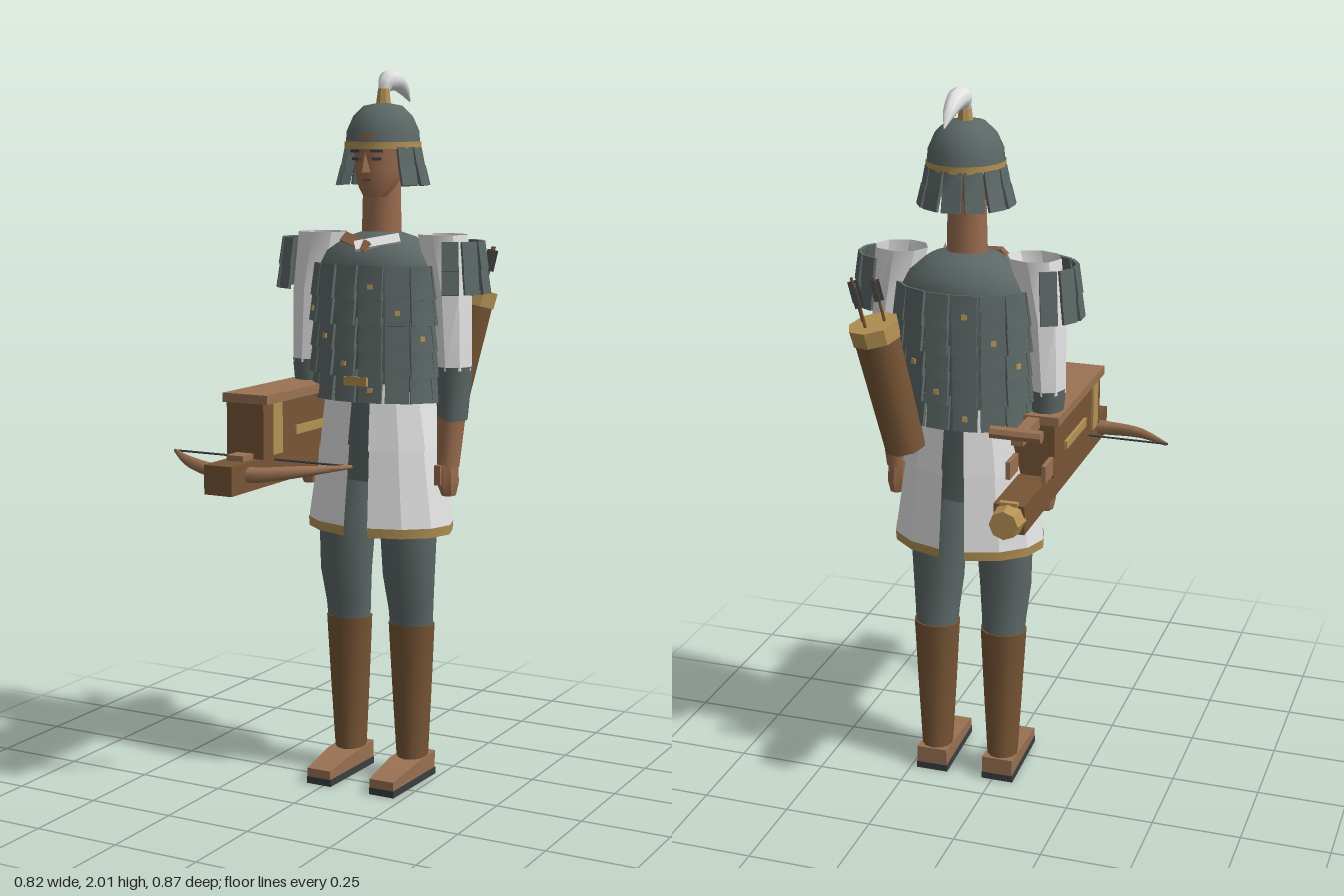
import * as THREE from 'three';
import { mergeGeometries, toCreasedNormals } from 'three/addons/utils/BufferGeometryUtils.js';

const mat = (name, color, side = THREE.FrontSide) => {
  const m = new THREE.MeshStandardMaterial({ color, side });
  m.name = name;
  return m;
};

// Skin through horizontal ellipses [y, cx, cz, rx, rz], listed bottom to top; a = 0 faces the front
function loft(rings, n = 12, a0 = 0, a1 = Math.PI * 2) {
  const pos = [], idx = [];
  for (const [y, cx, cz, rx, rz] of rings)
    for (let j = 0; j <= n; j++) {
      const a = a0 + (a1 - a0) * j / n;
      pos.push(cx + rx * Math.sin(a), y, cz + rz * Math.cos(a));
    }
  for (let i = 0; i < rings.length - 1; i++)
    for (let j = 0; j < n; j++) {
      const p = i * (n + 1) + j, q = p + n + 1;
      idx.push(p, p + 1, q + 1, p, q + 1, q);
    }
  const g = new THREE.BufferGeometry();
  g.setAttribute('position', new THREE.Float32BufferAttribute(pos, 3));
  g.setIndex(idx);
  return g;
}
const capped = (rings) => {
  const point = ([y, x, z]) => [y, x, z, 0, 0];
  return [point(rings[0]), ...rings, point(rings[rings.length - 1])];
};

// Tube whose radius follows a list of values along the path
function taperTube(points, radii, steps = 16, sides = 8) {
  const curve = new THREE.CatmullRomCurve3(points.map((p) => new THREE.Vector3(...p)));
  const g = new THREE.TubeGeometry(curve, steps, 1, sides);
  const p = g.attributes.position, v = new THREE.Vector3();
  for (let i = 0; i < p.count; i++) {
    const t = Math.floor(i / (sides + 1)) / steps, c = curve.getPointAt(t);
    const f = t * (radii.length - 1), k = Math.min(Math.floor(f), radii.length - 2);
    const r = THREE.MathUtils.lerp(radii[k], radii[k + 1], f - k);
    v.fromBufferAttribute(p, i).sub(c).multiplyScalar(r).add(c);
    p.setXYZ(i, v.x, v.y, v.z);
  }
  return g;
}

// Thin plate standing on an ellipse, lower edge tilted outward
function plate(w, h, d, a, [cx, y, cz], rx, rz, tilt) {
  return new THREE.BoxGeometry(w, h, d).rotateX(-tilt)
    .rotateY(Math.atan2(Math.sin(a) / rx, Math.cos(a) / rz))
    .translate(cx + rx * Math.sin(a), y, cz + rz * Math.cos(a));
}

export function createModel() {
  const slate = mat('slate', 0x5c6866, THREE.DoubleSide);
  const cloth = mat('whiteCloth', 0xe4e4e4, THREE.DoubleSide);
  const gold = mat('gold', 0xb49254, THREE.DoubleSide);
  const skin = mat('skin', 0x9a6c4f);
  const wood = mat('lightWood', 0x9a7253);
  const leather = mat('brownLeather', 0x775535);
  const dark = mat('dark', 0x3a3f42);

  const model = new THREE.Group();
  const group = (name, parent, x = 0, y = 0, z = 0) => {
    const g = new THREE.Group();
    g.name = name;
    g.position.set(x, y, z);
    parent.add(g);
    return g;
  };
  const add = (parent, name, geo, material, crease = 0.7) => {
    const m = new THREE.Mesh(toCreasedNormals(geo, crease), material);
    m.name = name;
    parent.add(m);
    return m;
  };
  const box = (parent, name, w, h, d, x, y, z, material) =>
    add(parent, name, new THREE.BoxGeometry(w, h, d).translate(x, y, z), material);

  const body = group('soldier', model, 0.085, 0, -0.1);

  // Legs, boots and shoes
  for (const s of [-1, 1]) {
    const leg = group(s > 0 ? 'leftLeg' : 'rightLeg', body, s * 0.1);
    add(leg, 'trouser', loft([[0.44, 0, 0, 0.062, 0.055], [0.5, 0, 0.005, 0.066, 0.055], [0.6, 0, 0.02, 0.076, 0.064],
      [0.75, -s * 0.003, 0.018, 0.084, 0.071], [0.95, -s * 0.01, 0.01, 0.085, 0.075]]), slate);
    add(leg, 'boot', loft(capped([[0.05, 0, -0.01, 0.043, 0.05], [0.25, 0, -0.005, 0.056, 0.053], [0.46, 0, 0, 0.068, 0.057]])), leather);
    const side = new THREE.Shape([[-0.065, 0.02], [0.185, 0.02], [0.185, 0.045], [0.05, 0.065], [-0.065, 0.07]]
      .map((p) => new THREE.Vector2(...p)));
    const shoe = new THREE.ExtrudeGeometry(side, { depth: 0.09, bevelEnabled: false }).rotateY(-Math.PI / 2).translate(0.045, 0, 0);
    const sole = new THREE.BoxGeometry(0.094, 0.02, 0.25).translate(0, 0.01, 0.06);
    for (const g of [shoe, sole]) {
      const p = g.attributes.position;
      for (let i = 0; i < p.count; i++) if (p.getZ(i) > 0.1) p.setX(i, p.getX(i) * 0.82);
    }
    add(leg, 'shoe', shoe, wood);
    add(leg, 'sole', sole, dark);
  }

  // Split two-tier skirt with gilded hem
  add(body, 'hips', loft(capped([[0.87, 0, 0, 0.13, 0.09], [1.12, 0, 0, 0.14, 0.105]])), slate);
  for (const s of [0, 1]) {
    const a0 = 0.17 + s * Math.PI, a1 = Math.PI - 0.17 + s * Math.PI;
    add(body, 'upperSkirt', loft([[0.965, 0, 0, 0.192, 0.142], [1.15, 0, 0, 0.155, 0.118]], 6, a0, a1), cloth, 0.1);
    add(body, 'lowerSkirt', loft([[0.75, 0, 0, 0.217, 0.155], [0.978, 0, 0, 0.182, 0.133]], 6, a0, a1), cloth, 0.1);
    add(body, 'skirtHem', loft([[0.725, 0, 0, 0.216, 0.154], [0.74, 0, 0, 0.217, 0.156], [0.752, 0, 0, 0.218, 0.157]], 6, a0, a1), gold);
  }

  // Torso under rows of armour plates
  add(body, 'torso', loft([[1.1, 0, 0, 0.155, 0.11], [1.3, 0, 0, 0.172, 0.125], [1.46, 0, 0, 0.188, 0.135],
    [1.51, 0, 0, 0.16, 0.122], [1.55, 0, 0, 0.1, 0.08], [1.565, 0, 0, 0.05, 0.05]], 16), slate);
  const plates = [], studs = [];
  for (let row = 0; row < 5; row++)
    for (let k = 0; k < 16; k++) {
      const a = (k + 0.5) / 16 * Math.PI * 2, y = 1.43 - row * 0.071, grow = (row % 2) * 0.004;
      plates.push(plate(0.066, 0.092, 0.009, a, [0, y, 0], 0.196 + grow, 0.14 + grow, 0.13));
      if ((k * 3 + row * 5) % 4 === 0)
        studs.push(plate(0.014, 0.014, 0.008, a, [0, y - 0.01, 0], 0.202 + grow, 0.147 + grow, 0.13));
    }
  add(body, 'armourPlates', mergeGeometries(plates), slate);
  add(body, 'armourStuds', mergeGeometries(studs), gold);
  box(body, 'beltBuckle', 0.07, 0.025, 0.012, 0, 1.16, 0.152, gold);

  // Crossed collar
  for (const s of [-1, 1]) {
    const lapel = box(body, 'collar', 0.125, 0.03, 0.012, 0, 0, 0, s > 0 ? cloth : skin);
    lapel.position.set(s * 0.034, 1.538, 0.092);
    lapel.rotation.set(-0.75, s * 0.3, s * 0.5);
  }

  // Arms with open sleeves and shoulder plates
  for (const s of [-1, 1]) {
    const arm = group(s > 0 ? 'leftArm' : 'rightArm', body);
    add(arm, 'sleeve', loft([[1.19, s * 0.226, 0, 0.051, 0.056], [1.4, s * 0.215, 0, 0.062, 0.06],
      [1.56, s * 0.187, 0, 0.075, 0.064]], 8), cloth);
    add(arm, 'forearm', loft(capped([[1.05, s * 0.222, 0, 0.041, 0.047], [1.2, s * 0.227, 0, 0.05, 0.056]])), slate);
    add(arm, 'wrist', loft(capped([[0.92, s * 0.217, 0.013, 0.03, 0.034], [1.06, s * 0.221, 0.005, 0.039, 0.042]])), skin);
    add(arm, 'hand', loft(capped([[0.84, s * 0.22, 0.014, 0.02, 0.024], [0.875, s * 0.218, 0.016, 0.03, 0.037],
      [0.94, s * 0.216, 0.014, 0.028, 0.033]]), 8), skin);
    box(arm, 'thumb', 0.018, 0.055, 0.018, s * 0.205, 0.9, 0.05, skin);
    const guard = [];
    for (let row = 0; row < 2; row++)
      for (let k = -2; k <= 2; k++)
        guard.push(plate(0.046, 0.078, 0.009, s * (Math.PI / 2 + k * 0.5),
          [s * 0.185, 1.505 - row * 0.065, 0], 0.121 + row * 0.007, 0.1 + row * 0.006, 0.15));
    add(arm, 'shoulderPlates', mergeGeometries(guard), slate);
  }

  // Head and face
  add(body, 'neck', loft([[1.5, 0, 0, 0.058, 0.052], [1.72, 0, 0, 0.053, 0.047]]), skin);
  add(body, 'head', loft(capped([[1.66, 0, 0.035, 0.032, 0.042], [1.685, 0, 0.026, 0.05, 0.06], [1.73, 0, 0.015, 0.066, 0.078],
    [1.83, 0, 0.01, 0.072, 0.09]]), 16), skin);
  add(body, 'nose', new THREE.ConeGeometry(0.017, 0.055, 4).translate(0, 1.755, 0.1), skin);
  for (const s of [-1, 1]) {
    const eye = group('eyeDetails', body, s * 0.031, 0, 0.092);
    eye.rotation.y = s * 0.35;
    box(eye, 'brow', 0.034, 0.008, 0.009, 0, 1.785, 0.002, dark);
    box(eye, 'eye', 0.026, 0.008, 0.009, 0, 1.764, 0, dark);
    box(body, 'ear', 0.014, 0.04, 0.025, s * 0.07, 1.755, 0, skin);
  }
  box(body, 'mouth', 0.03, 0.006, 0.008, 0, 1.706, 0.086, leather);

  // Helmet, neck guard, finial and plume
  add(body, 'helmet', loft([[1.795, 0, -0.005, 0.104, 0.106], [1.84, 0, -0.005, 0.1, 0.102], [1.88, 0, -0.005, 0.082, 0.084],
    [1.908, 0, -0.005, 0.053, 0.055], [1.918, 0, -0.005, 0, 0]], 16), slate);
  add(body, 'helmetBand', loft([[1.79, 0, -0.005, 0.106, 0.108], [1.81, 0, -0.005, 0.106, 0.108]], 16), gold);
  const flaps = [];
  for (let k = 0; k < 9; k++) {
    const a = 1.1 + k * (Math.PI * 2 - 2.2) / 8;
    flaps.push(plate(0.05, 0.065, 0.009, a, [0, 1.763, -0.005], 0.107, 0.107, 0.2));
    flaps.push(plate(0.052, 0.055, 0.009, a, [0, 1.718, -0.005], 0.119, 0.119, 0.25));
  }
  add(body, 'neckGuard', mergeGeometries(flaps), slate);
  add(body, 'finial', new THREE.CylinderGeometry(0.016, 0.022, 0.045, 8).translate(0, 1.932, -0.008), gold);
  add(body, 'plume', taperTube([[0, 1.945, -0.01], [0, 1.972, -0.025], [0, 1.977, -0.075], [0, 1.958, -0.125], [0, 1.922, -0.17]],
    [0.015, 0.03, 0.026, 0.017, 0.002]), cloth, 1.2);

  // Quiver with three arrows, leaning on the back
  const quiver = group('quiver', model, 0.25, 1.21, -0.265);
  quiver.quaternion.setFromUnitVectors(new THREE.Vector3(0, 1, 0), new THREE.Vector3(0.06, 0.35, -0.058).normalize());
  add(quiver, 'quiverBody', new THREE.CylinderGeometry(0.064, 0.058, 0.36, 8), leather, 0.9);
  add(quiver, 'quiverCap', new THREE.CylinderGeometry(0.07, 0.068, 0.045, 8).translate(0, 0.17, 0), gold);
  for (const [x, z] of [[-0.03, 0.01], [0.012, -0.025], [0.035, 0.015]]) {
    add(quiver, 'arrowShaft', new THREE.CylinderGeometry(0.004, 0.004, 0.14, 6).translate(x, 0.25, z), leather);
    for (const t of [0, 1])
      add(quiver, 'fletching', new THREE.BoxGeometry(0.026, 0.06, 0.003).rotateY(0.5 + t * 1.57).translate(x, 0.28, z), dark);
  }

  // Repeating crossbow
  const bow = group('crossbow', model, -0.123);
  box(bow, 'stock', 0.085, 0.08, 0.82, 0, 0.925, 0.025, leather);
  add(bow, 'stockCap', new THREE.CylinderGeometry(0.04, 0.046, 0.055, 8).rotateX(-Math.PI / 2).translate(0, 0.925, -0.405), gold);
  box(bow, 'stockInlay', 0.05, 0.01, 0.015, 0, 0.969, -0.385, gold);
  box(bow, 'magazine', 0.115, 0.15, 0.46, 0, 1.04, 0.065, leather);
  box(bow, 'magazineLid', 0.14, 0.025, 0.465, 0, 1.127, 0.063, wood);
  box(bow, 'bowSeat', 0.052, 0.02, 0.06, 0, 0.97, 0.32, wood);
  for (const s of [-1, 1]) {
    box(bow, 'magazineBand', 0.008, 0.14, 0.05, s * 0.06, 1.043, 0.228, gold);
    box(bow, 'sideStrip', 0.008, 0.024, 0.2, s * 0.061, 1.025, 0.03, gold);
    box(bow, 'leverLink', 0.012, 0.05, 0.28, s * 0.05, 1.0, -0.1, wood);
  }
  box(bow, 'leverArm', 0.034, 0.03, 0.16, 0, 1.12, -0.235, wood);
  add(bow, 'leverHandle', new THREE.CylinderGeometry(0.018, 0.018, 0.14, 8).rotateZ(Math.PI / 2).translate(0, 1.14, -0.322), wood);
  add(bow, 'bowLimbs', taperTube([[-0.282, 0.952, 0.21], [-0.17, 0.943, 0.305], [-0.07, 0.932, 0.342], [0, 0.93, 0.348],
    [0.07, 0.932, 0.342], [0.17, 0.943, 0.305], [0.282, 0.952, 0.21]], [0.005, 0.017, 0.024, 0.017, 0.005], 24), wood, 1);
  add(bow, 'bowString', new THREE.CylinderGeometry(0.003, 0.003, 0.565, 5).rotateZ(Math.PI / 2).translate(0, 0.953, 0.211), dark);

  return model;
}
